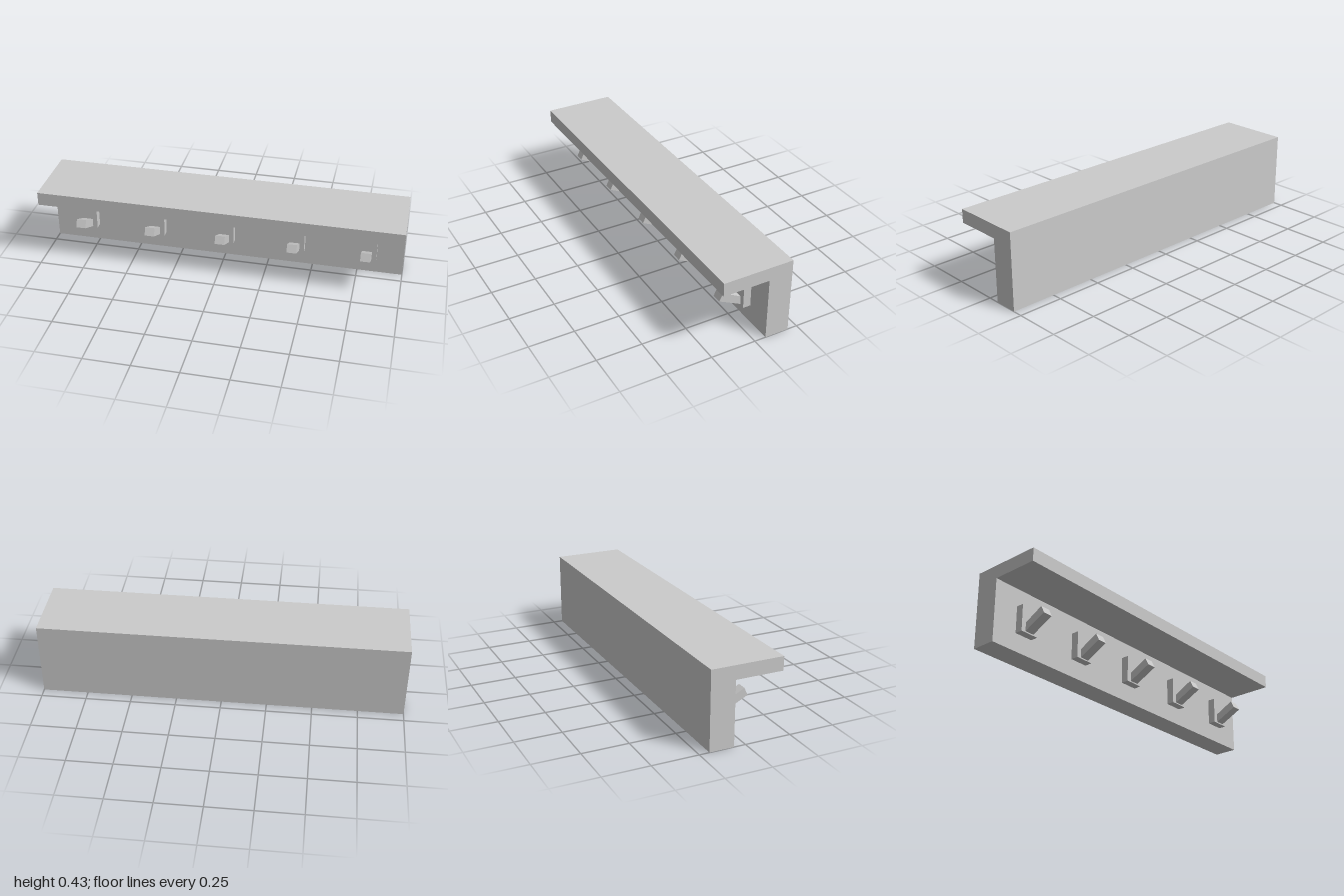
import * as THREE from 'three';

const material = new THREE.MeshStandardMaterial({ color: 0xcccccc, flatShading: true });

// Extrude a side profile of [z, y] points along x, centred on x = 0
function sideProfile(name, points, width) {
  const shape = new THREE.Shape(points.map(([z, y]) => new THREE.Vector2(z, y)));
  const geometry = new THREE.ExtrudeGeometry(shape, { depth: width, bevelEnabled: false });
  geometry.translate(0, 0, -width / 2).rotateY(-Math.PI / 2);
  const mesh = new THREE.Mesh(geometry, material);
  mesh.name = name;
  return mesh;
}

// Small mounting plate with a peg slanting up and forward
function createHook() {
  const hook = new THREE.Group();
  hook.name = 'hook';
  const plate = new THREE.Mesh(new THREE.BoxGeometry(0.107, 0.15, 0.043), material);
  plate.name = 'hookPlate';
  plate.position.set(0, 0.175, -0.0415);
  const peg = sideProfile('hookPeg', [
    [-0.03, 0.102], [0.106, 0.17], [0.086, 0.212], [-0.03, 0.15],
  ], 0.054);
  hook.add(plate, peg);
  return hook;
}

export function createModel() {
  const model = new THREE.Group();
  model.name = 'coatRackShelf';

  // Back board and overhanging shelf as one L-shaped section
  model.add(sideProfile('shelfAndBackBoard', [
    [-0.196, 0], [-0.063, 0], [-0.063, 0.35], [0.196, 0.35], [0.196, 0.425], [-0.196, 0.425],
  ], 2));

  // Row of five hooks
  for (let i = -2; i <= 2; i++) {
    const hook = createHook();
    hook.position.x = i * 0.4;
    model.add(hook);
  }
  return model;
}
